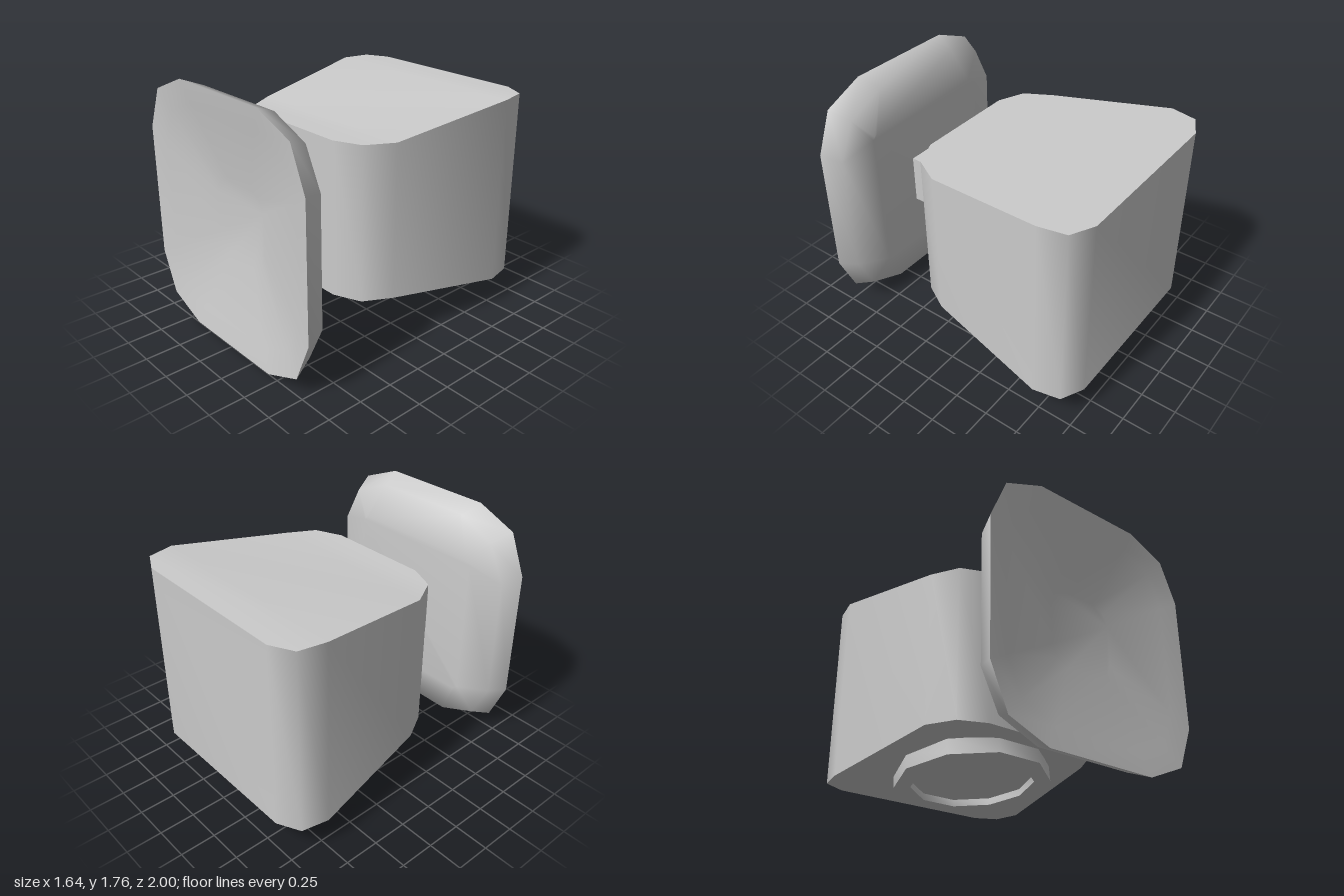
import * as THREE from 'three';
import { toCreasedNormals } from 'three/addons/utils/BufferGeometryUtils.js';

const grey = new THREE.MeshStandardMaterial({ color: 0xcccccc });

// Skin a closed series of rings, each counter-clockwise seen from +z, starting at the back.
function loft(rings, crease) {
  const n = rings[0].length;
  const index = [];
  for (let r = 0; r < rings.length - 1; r++) {
    for (let i = 0; i < n; i++) {
      const a = r * n + i, b = r * n + (i + 1) % n;
      index.push(a, b, b + n, a, b + n, a + n);
    }
  }
  const last = (rings.length - 1) * n;
  for (let i = 1; i < n - 1; i++) {
    index.push(0, i + 1, i, last, last + i, last + i + 1);
  }
  const geometry = new THREE.BufferGeometry();
  geometry.setAttribute('position', new THREE.Float32BufferAttribute(rings.flat(2), 3));
  geometry.setIndex(index);
  return toCreasedNormals(geometry, crease);
}

// Mirror the three points of one corner into a full outline at depth z.
function cornerRing(corner, z) {
  const half = [...corner, ...corner.map(([x, y]) => [-x, y]).reverse()];
  return [...half, ...half.map(([x, y]) => [-x, -y])].map(([x, y]) => [x, 0.88 + y, z]);
}

function addPart(group, name, geometry) {
  const mesh = new THREE.Mesh(geometry, grey);
  mesh.name = name;
  group.add(mesh);
  return mesh;
}

export function createModel() {
  const group = new THREE.Group();

  // Cabinet: rectangular sections, taller and wider towards the back
  const stations = [[-1, 0.6], [-0.92, 0.76], [-0.73, 0.8], [0.15, 0.665], [0.34, 0.56], [0.42, 0.37]];
  const sections = stations.map(([z, w]) => {
    const t = THREE.MathUtils.clamp((0.15 - z) / 0.88, 0, 1);
    const bottom = 0.337 - 0.128 * t, top = 1.425 + 0.127 * t;
    return [[-w, bottom, z], [w, bottom, z], [w, top, z], [-w, top, z]];
  });
  addPart(group, 'cabinet', loft(sections, 1.0));

  // Stem joining cabinet and dish
  addPart(group, 'stem', new THREE.BoxGeometry(0.335, 0.36, 0.42)).position.set(0, 0.88, 0.6);

  // Dish: squarish back, chamfered rim, shallow hollow front
  const rim = [[0.822, 0.47], [0.7, 0.76], [0.41, 0.88]];
  const scaled = (s) => rim.map(([x, y]) => [x * s, y * s]);
  addPart(group, 'dish', loft([
    cornerRing([[0.52, 0.51], [0.505, 0.53], [0.48, 0.545]], 0.8),
    cornerRing([[0.77, 0.44], [0.645, 0.7], [0.365, 0.82]], 0.85),
    cornerRing(rim, 1),
    cornerRing(scaled(0.83), 0.975),
    cornerRing(scaled(0.3), 0.875),
  ], 1.3));

  // Tilted ten-sided ring with a shallow recess under the cabinet
  const profile = [[0, 0.05], [0.427, 0.05], [0.427, 0], [0.541, 0], [0.541, 0.115]]
    .map(([x, y]) => new THREE.Vector2(x, y));
  const ring = addPart(group, 'bottomRing',
    toCreasedNormals(new THREE.LatheGeometry(profile, 10, Math.PI / 2), 0.7));
  ring.position.set(0, 0.184, -0.24);
  ring.rotation.x = -0.103;

  return group;
}
